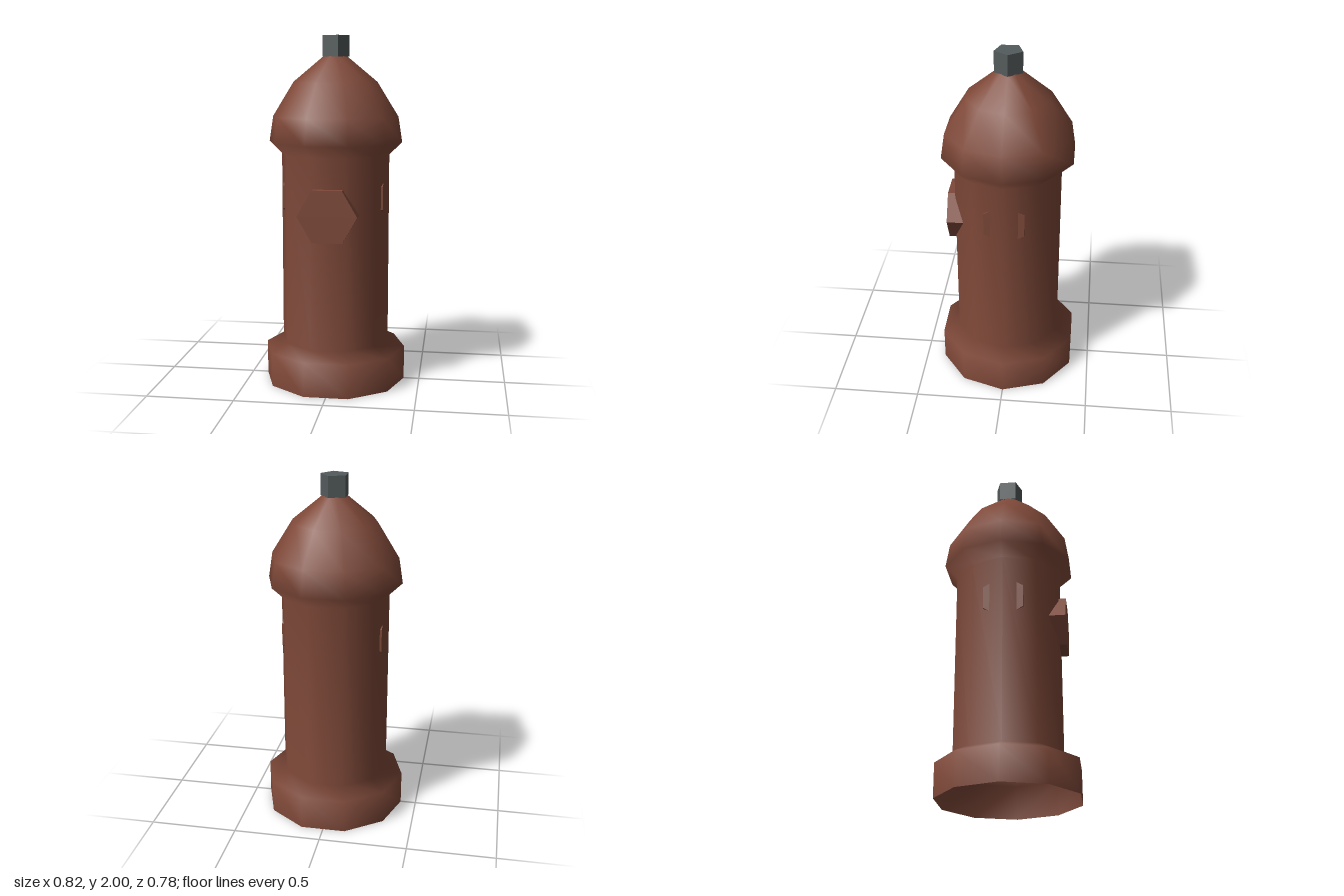
import * as THREE from 'three';

// Prism with flat faces; first corner points along +x, axis along y
function prism(radius, height, sides) {
  const g = new THREE.CylinderGeometry(radius, radius, height, sides, 1, false, Math.PI / 2).toNonIndexed();
  g.computeVertexNormals();
  return g;
}

export function createModel() {
  const group = new THREE.Group();
  const redBrown = new THREE.MeshStandardMaterial({ color: 0x7f4939, side: THREE.DoubleSide });
  redBrown.name = 'redBrown';
  const slateGrey = new THREE.MeshStandardMaterial({ color: 0x545b5c });
  slateGrey.name = 'slateGrey';

  const add = (name, geometry, material, x, y, z) => {
    const mesh = new THREE.Mesh(geometry, material);
    mesh.name = name;
    mesh.position.set(x, y, z);
    group.add(mesh);
  };

  // Ten-sided hollow body: wide foot, barrel, flared bonnet; open underneath
  const profile = [
    [0.41, 0], [0.41, 0.195], [0.312, 0.243], [0.312, 1.33],
    [0.385, 1.4], [0.362, 1.545], [0.241, 1.74], [0.068, 1.883],
  ].map(([r, y]) => new THREE.Vector2(r, y));
  add('body', new THREE.LatheGeometry(profile, 10, Math.PI / 2), redBrown, 0, 0, 0);

  // Five-sided operating nut
  add('topNut', prism(0.082, 0.12, 5), slateGrey, 0, 1.94, 0);

  // Large front outlet cap
  add('frontCap', prism(0.168, 0.14, 6).rotateX(Math.PI / 2), redBrown, 0, 1.015, 0.27);

  // Side outlet caps, mostly sunk into the barrel
  for (const side of [1, -1]) {
    add(side > 0 ? 'leftCap' : 'rightCap', prism(0.13, 0.1, 6).rotateZ(Math.PI / 2),
      redBrown, side * 0.237, 1.09, 0);
  }
  return group;
}
